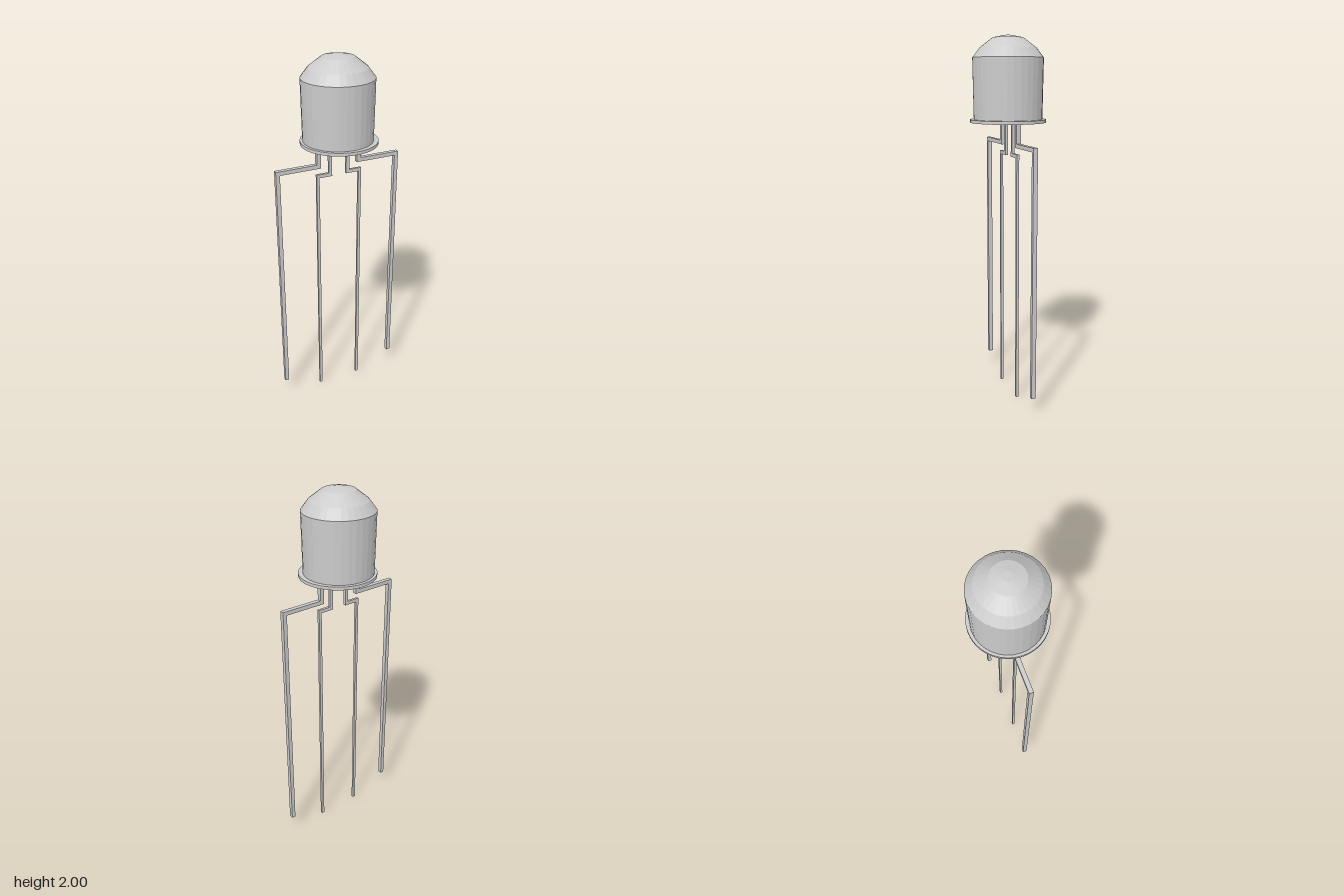
import * as THREE from 'three';

const material = new THREE.MeshStandardMaterial({ color: 0xcccccc, flatShading: true, side: THREE.DoubleSide });

function add(group, name, geometry) {
  const mesh = new THREE.Mesh(geometry, material);
  mesh.name = name;
  group.add(mesh);
  return mesh;
}

// Flat wire with two right-angle bends, cut from sheet and mirrored by side
function leadGeometry(side, { inner, outer, shelf, tip, top, w, lowW, depth }) {
  const points = [
    [inner, top], [inner, shelf - w], [outer - lowW, shelf - w], [outer - lowW, tip],
    [outer, tip], [outer, shelf], [inner + w, shelf], [inner + w, top],
  ].map(([x, y]) => new THREE.Vector2(x * side, y));
  return new THREE.ExtrudeGeometry(new THREE.Shape(points), { depth, bevelEnabled: false })
    .translate(0, 0, -depth);
}

export function createModel() {
  const group = new THREE.Group();

  // Domed lens, slightly wider at the shoulder
  const profile = [
    [0, 1.56], [0.185, 1.56], [0.19, 1.885], [0.152, 1.935], [0.084, 1.987], [0.025, 2], [0, 2],
  ].map(([r, y]) => new THREE.Vector2(r, y));
  add(group, 'lens', new THREE.LatheGeometry(profile, 32)).position.set(-0.006, 0, -0.002);

  // Thin rim under the lens
  add(group, 'rim', new THREE.CylinderGeometry(0.204, 0.204, 0.017, 48)).position.set(-0.001, 1.554, 0);

  // Two pairs of bent leads
  for (const [side, label] of [[1, 'left'], [-1, 'right']]) {
    add(group, label + 'OuterLead', leadGeometry(side, {
      inner: 0.105, outer: 0.356, shelf: 1.44, tip: 0.095, top: 1.55, w: 0.022, lowW: 0.022, depth: 0.024,
    }));
    add(group, label + 'InnerLead', leadGeometry(side, {
      inner: 0.041, outer: 0.13, shelf: 1.384, tip: 0, top: 1.55, w: 0.019, lowW: 0.016, depth: 0.014,
    }));
  }
  return group;
}
